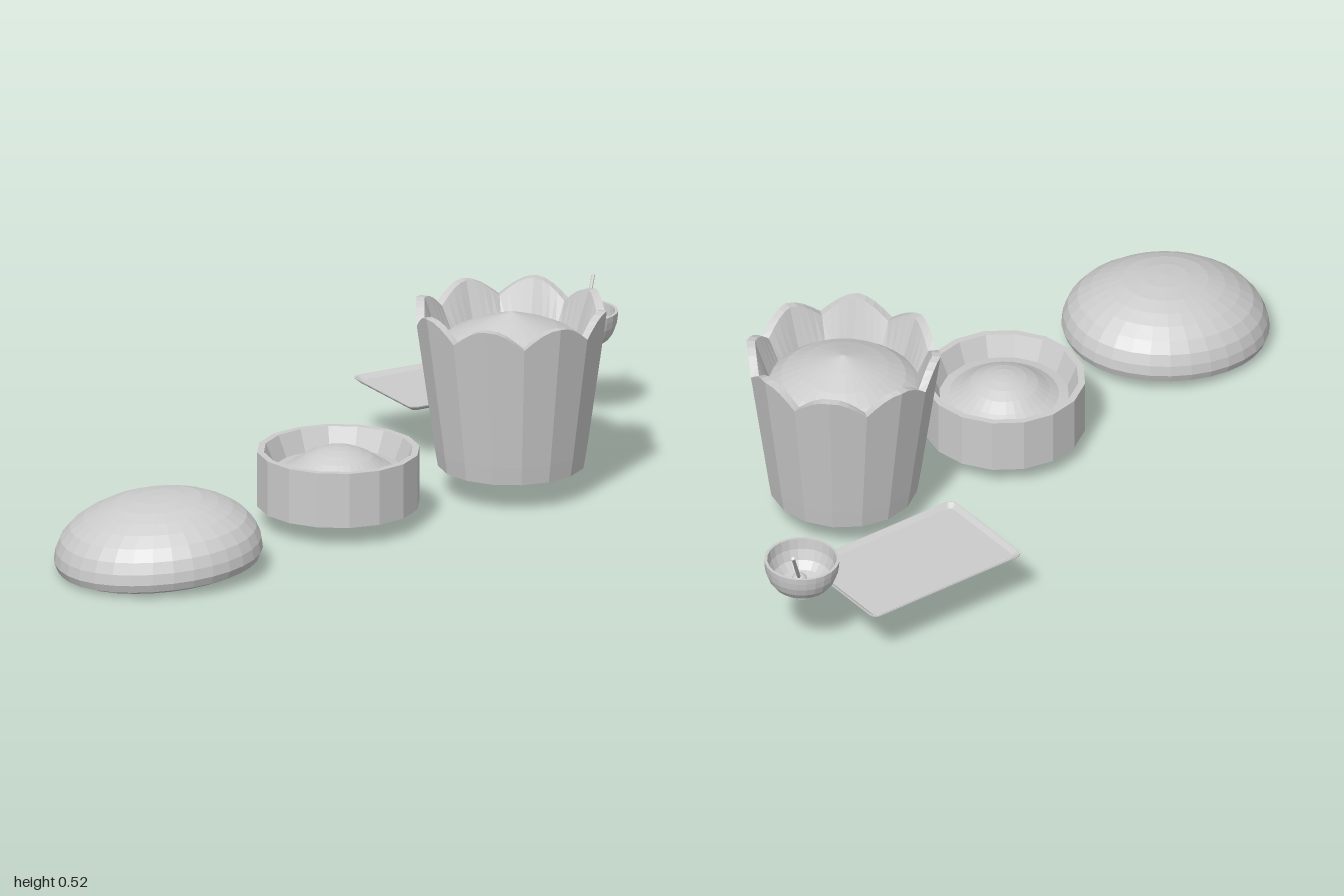
import * as THREE from 'three';

const material = new THREE.MeshStandardMaterial({ color: 0xcccccc, flatShading: true, side: THREE.DoubleSide });

function part(name, geometry, x = 0, y = 0, z = 0) {
  const mesh = new THREE.Mesh(geometry, material);
  mesh.name = name;
  mesh.position.set(x, y, z);
  return mesh;
}

const lathe = (profile, sides) =>
  new THREE.LatheGeometry(profile.map(([r, y]) => new THREE.Vector2(r, y)), sides);

// Moves every vertex by a rule
function reshape(geometry, rule) {
  const p = geometry.attributes.position;
  const v = new THREE.Vector3();
  for (let i = 0; i < p.count; i++) {
    rule(v.fromBufferAttribute(p, i));
    p.setXYZ(i, v.x, v.y, v.z);
  }
  geometry.computeVertexNormals();
  return geometry;
}

// Lopsided bread dome with a hollow, tilted underside
function createLoaf() {
  const profile = [[0, 0.035], [0.3, 0.024], [0.6, 0.009], [0.88, 0], [0.97, 0.011], [1, 0.032],
    [0.985, 0.06], [0.94, 0.09], [0.85, 0.12], [0.72, 0.145], [0.58, 0.164], [0.42, 0.179],
    [0.22, 0.188], [0, 0.191]];
  const geometry = reshape(lathe(profile, 32), (v) => {
    const lean = 0.02 * v.z * v.z * Math.sign(v.z);
    v.x = v.x * 0.2775 + lean;
    v.z *= 0.255;
    v.y += 0.019 + 0.07 * v.x;
  });
  return part('loaf', geometry, -0.722, 0, 0.245);
}

// Round dish with a raised floor
function createDish() {
  const group = new THREE.Group();
  group.name = 'dish';
  group.position.set(-0.105, 0, 0.13);
  group.add(
    part('dishWall', lathe([[0, 0.145], [0.207, 0.145], [0.21, 0.055], [0.216, 0.055], [0.216, 0.205],
      [0.198, 0.205], [0.172, 0.146]], 16)),
    part('dishFilling', lathe([[0.176, 0.147], [0.145, 0.152], [0.12, 0.166], [0.09, 0.187],
      [0.06, 0.201], [0.03, 0.209], [0, 0.212]], 32)),
  );
  return group;
}

// Sixteen-sided pot with eight scalloped petals round the rim
function createPot() {
  const step = Math.PI / 8;
  const rim = 0.47;
  const wall = lathe([[0, 0.19], [0.19, 0.19], [0.19, 0.08], [0.196, 0.08], [0.204, 0.13], [0.252, rim],
    [0.23, rim], [0.192, 0.39]], 64);
  reshape(wall, (v) => {
    const angle = Math.atan2(v.x, v.z) + 2 * Math.PI;
    // Pull the round section in to flat sides
    let k = Math.cos(step / 2) / Math.cos((angle % step) - step / 2);
    if (v.y > rim - 0.001) {
      const t = (angle / (2 * step) + 0.5) % 1;
      const lift = 0.05 * Math.sin(Math.PI * t);
      v.y += lift;
      k *= 1 + 0.55 * lift;
    }
    v.x *= k;
    v.z *= k;
  });
  const group = new THREE.Group();
  group.name = 'pot';
  group.position.set(0.425, 0, 0.128);
  group.add(
    part('potWall', wall),
    part('potFilling', lathe([[0.205, 0.405], [0.19, 0.418], [0.165, 0.437], [0.12, 0.458],
      [0.06, 0.48], [0, 0.5]], 32)),
  );
  return group;
}

// Shallow rectangular tray, lofted through rounded rectangles
function createTray() {
  const halfX = 0.245, halfZ = 0.157, perCorner = 5;
  const rings = [[0.015, 0.148], [0, 0.16], [0, 0.163], [0.003, 0.163], [0.016, 0.153]];
  const positions = [], index = [];
  const count = perCorner * 4;
  for (const [inset, y] of rings) {
    const radius = 0.022 - inset * 0.6;
    for (let i = 0; i < count; i++) {
      const corner = Math.floor(i / perCorner);
      const a = (corner + (i % perCorner) / (perCorner - 1)) * Math.PI / 2;
      const sx = corner === 0 || corner === 3 ? 1 : -1;
      const sz = corner < 2 ? 1 : -1;
      positions.push(sx * (halfX - inset - radius) + radius * Math.cos(a), y,
        sz * (halfZ - inset - radius) + radius * Math.sin(a));
    }
  }
  for (let r = 0; r < rings.length - 1; r++) {
    for (let i = 0; i < count; i++) {
      const a = r * count + i, b = r * count + (i + 1) % count;
      index.push(a, a + count, b, b, a + count, b + count);
    }
  }
  // Underside and floor
  const last = (rings.length - 1) * count;
  for (let i = 1; i < count - 1; i++) {
    index.push(0, i, i + 1, last, last + i + 1, last + i);
  }
  const geometry = new THREE.BufferGeometry();
  geometry.setAttribute('position', new THREE.Float32BufferAttribute(positions, 3));
  geometry.setIndex(index);
  geometry.computeVertexNormals();
  return part('tray', geometry, 0.55, 0, -0.347);
}

// Small footed bowl with a spoon leaning in it
function createBowl() {
  const profile = [[0, 0.198], [0.034, 0.198], [0.036, 0.193], [0.039, 0.193], [0.039, 0.201],
    [0.058, 0.209], [0.075, 0.222], [0.088, 0.24], [0.096, 0.262], [0.099, 0.282], [0.1, 0.298],
    [0.092, 0.298], [0.088, 0.268], [0.077, 0.24], [0.058, 0.221], [0.032, 0.212], [0, 0.209]];
  const group = new THREE.Group();
  group.name = 'bowlAndSpoon';
  const low = new THREE.Vector3(0.903, 0.232, -0.318);
  const high = new THREE.Vector3(0.977, 0.366, -0.389);
  const direction = high.clone().sub(low);
  const handle = part('spoonHandle', new THREE.CylinderGeometry(0.005, 0.005, direction.length(), 8));
  handle.position.copy(low).add(high).multiplyScalar(0.5);
  handle.quaternion.setFromUnitVectors(new THREE.Vector3(0, 1, 0), direction.normalize());
  const head = part('spoonHead', new THREE.SphereGeometry(0.02, 16, 10), low.x, low.y, low.z);
  head.scale.y = 0.7;
  group.add(part('bowl', lathe(profile, 24), 0.9, 0, -0.325), handle, head);
  return group;
}

export function createModel() {
  const model = new THREE.Group();
  model.name = 'tableware';
  model.add(createLoaf(), createDish(), createPot(), createTray(), createBowl());
  return model;
}
